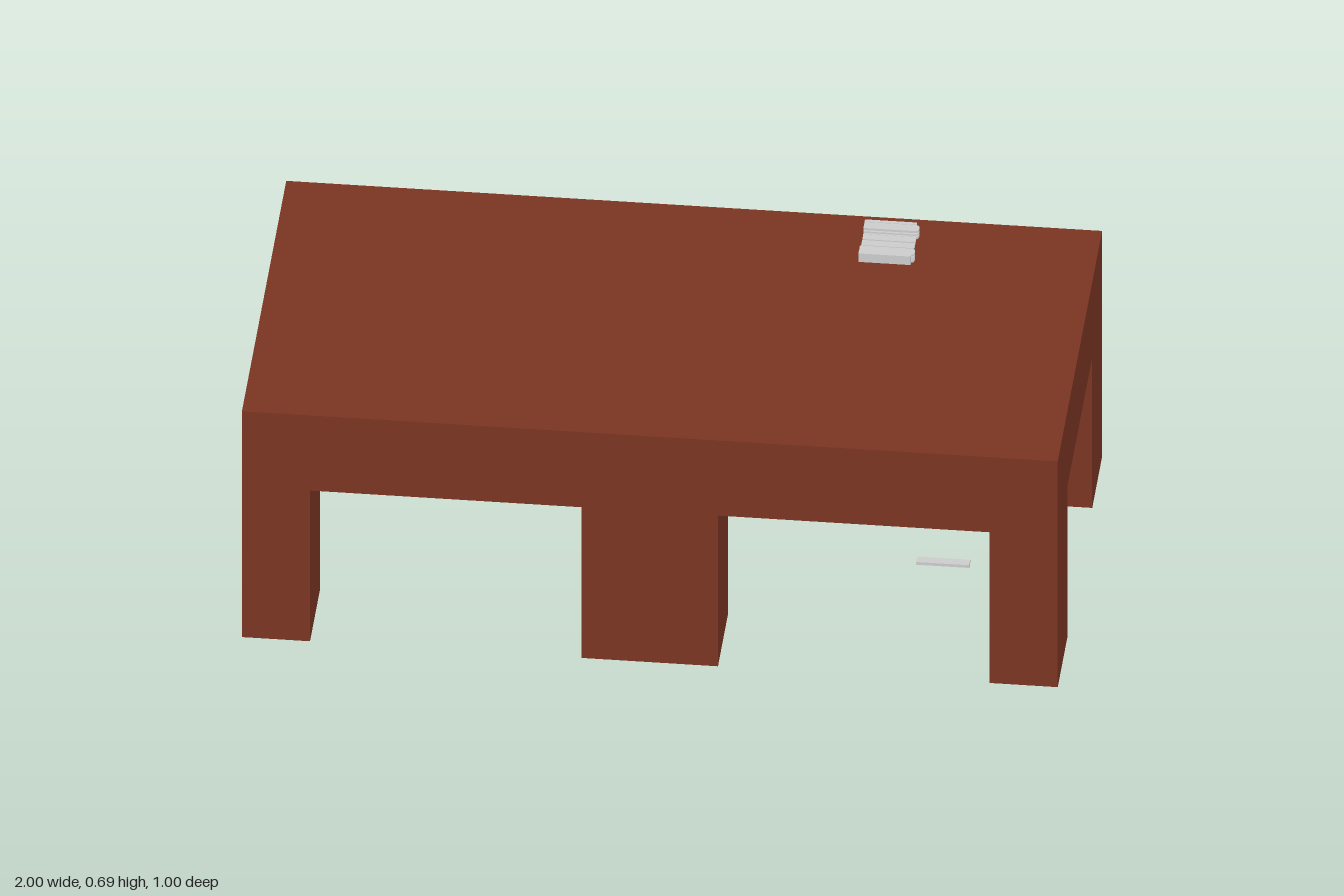
import * as THREE from 'three';

const wood = new THREE.MeshStandardMaterial({ color: 0x7a3522, flatShading: true });
const grey = new THREE.MeshStandardMaterial({ color: 0xcccccc, flatShading: true });

const TOP = 0.667, UNDER = 0.445;

// Box given by its min and max corners
function box(name, material, [x0, y0, z0], [x1, y1, z1]) {
  const mesh = new THREE.Mesh(new THREE.BoxGeometry(x1 - x0, y1 - y0, z1 - z0), material);
  mesh.position.set((x0 + x1) / 2, (y0 + y1) / 2, (z0 + z1) / 2);
  mesh.name = name;
  return mesh;
}

// Square table: thick slab on four corner legs
function table(cx) {
  const g = new THREE.Group();
  g.name = 'table';
  g.add(box('tabletop', wood, [-0.5, UNDER, -0.5], [0.5, TOP, 0.5]));
  for (const sx of [-1, 1]) for (const sz of [-1, 1]) {
    const leg = box('leg', wood, [-0.0835, 0, -0.111], [0.0835, UNDER, 0.111]);
    leg.position.x = sx * 0.4165;
    leg.position.z = sz * 0.389;
    g.add(leg);
  }
  g.position.x = cx;
  return g;
}

// Flange with two rounded corners at its +x end
function flange(y, thickness, x0, x1, z0, z1) {
  const r = 0.01;
  const s = new THREE.Shape();
  s.moveTo(x0, z0);
  s.lineTo(x1 - r, z0);
  s.quadraticCurveTo(x1, z0, x1, z0 + r);
  s.lineTo(x1, z1 - r);
  s.quadraticCurveTo(x1, z1, x1 - r, z1);
  s.lineTo(x0, z1);
  s.closePath();
  const geo = new THREE.ExtrudeGeometry(s, { depth: thickness, bevelEnabled: false, curveSegments: 4 });
  geo.rotateX(-Math.PI / 2);
  const mesh = new THREE.Mesh(geo, grey);
  mesh.position.y = y;
  mesh.name = 'railFlange';
  return mesh;
}

// Channel rail: outer wall with three flanges pointing along -side
function rail(side) {
  const g = new THREE.Group();
  g.name = 'rail';
  const outer = side * 0.074, wall = side * 0.064, inner = side * 0.038;
  g.add(box('railWall', grey,
    [-0.066, 0, Math.min(outer, wall)], [0.062, 0.025, Math.max(outer, wall)]));
  // flange shapes are drawn in x and -z
  const a = Math.min(-wall, -inner), b = Math.max(-wall, -inner);
  for (const [y, t] of [[0, 0.007], [0.01, 0.004], [0.018, 0.006]])
    g.add(flange(y, t, -0.066, 0.07, a, b));
  g.add(box('railWeb', grey,
    [-0.066, 0, Math.min(wall, side * 0.044)], [0.06, 0.022, Math.max(wall, side * 0.044)]));
  return g;
}

export function createModel() {
  const model = new THREE.Group();
  model.add(table(-0.5), table(0.5));

  // Small slatted holder on the table
  const holder = new THREE.Group();
  holder.name = 'holder';
  holder.add(rail(-1), rail(1));
  for (const z of [-0.026, 0, 0.026])
    holder.add(box('slat', grey, [-0.066, 0, z - 0.011], [0.064, 0.007, z + 0.011]));
  holder.position.set(0.49, TOP, -0.377);
  model.add(holder);

  // Loose slat lying on the floor
  model.add(box('looseSlat', grey, [0.6, 0, -0.012], [0.73, 0.008, 0.012]));
  return model;
}
